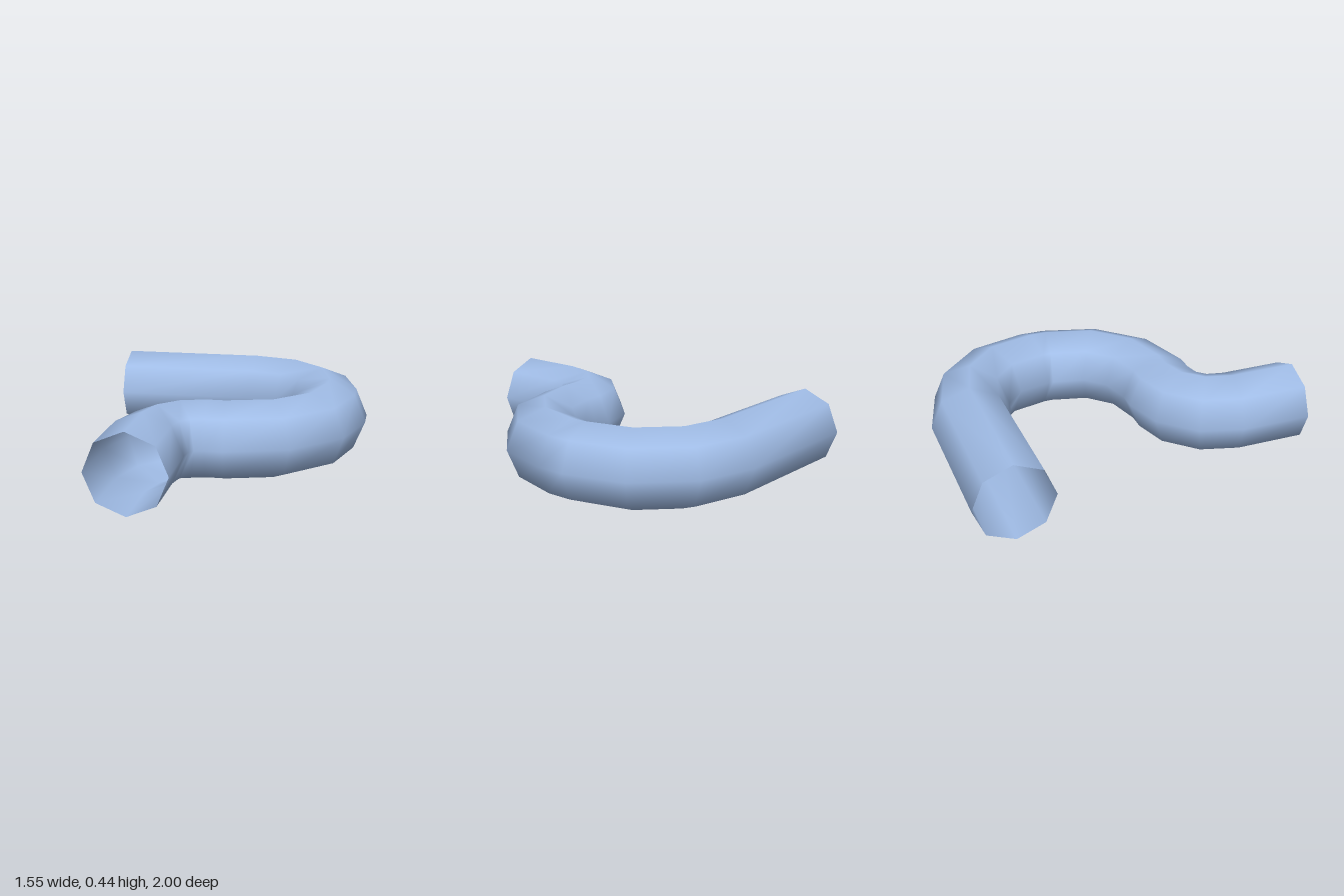
import * as THREE from 'three';

const RADIUS = 0.222;
const SIDES = 8;

// Pipe centreline sections: x, z, and heading of the cross-section in degrees
const SECTIONS = [
  // straight arm
  [-0.777, -0.778, 0],
  // wide U bend
  [0.045, -0.781, 6.6], [0.3, -0.713, 30], [0.485, -0.53, 60], [0.554, -0.27, 81],
  [0.554, -0.175, 99], [0.485, 0.08, 120], [0.3, 0.265, 150], [0.045, 0.335, 173.4],
  // tight reverse bend
  [-0.055, 0.334, 173.4], [-0.192, 0.371, 150], [-0.295, 0.475, 120], [-0.335, 0.628, 97],
  // short outlet
  [-0.334, 1, 90],
];

// Sweep an octagonal ring through the sections, sharing vertices for smooth shading
function sweptPipe(sections) {
  const positions = [];
  const indices = [];
  sections.forEach(([x, z, degrees], i) => {
    const heading = THREE.MathUtils.degToRad(degrees);
    for (let j = 0; j < SIDES; j++) {
      const a = (j / SIDES) * Math.PI * 2;
      const across = RADIUS * Math.cos(a);
      positions.push(
        x + across * Math.sin(heading),
        RADIUS + RADIUS * Math.sin(a),
        z - across * Math.cos(heading),
      );
      if (i === sections.length - 1) continue;
      const p = i * SIDES + j;
      const q = i * SIDES + ((j + 1) % SIDES);
      indices.push(p, q, p + SIDES, q, q + SIDES, p + SIDES);
    }
  });
  const geometry = new THREE.BufferGeometry();
  geometry.setAttribute('position', new THREE.Float32BufferAttribute(positions, 3));
  geometry.setIndex(indices);
  geometry.computeVertexNormals();
  return geometry;
}

export function createModel() {
  const group = new THREE.Group();
  group.name = 'bentPipe';
  // Open-ended thin wall, visible from inside and out
  const material = new THREE.MeshStandardMaterial({ color: 0xa0bce6, side: THREE.DoubleSide });
  const pipe = new THREE.Mesh(sweptPipe(SECTIONS), material);
  pipe.name = 'pipe';
  group.add(pipe);
  return group;
}
